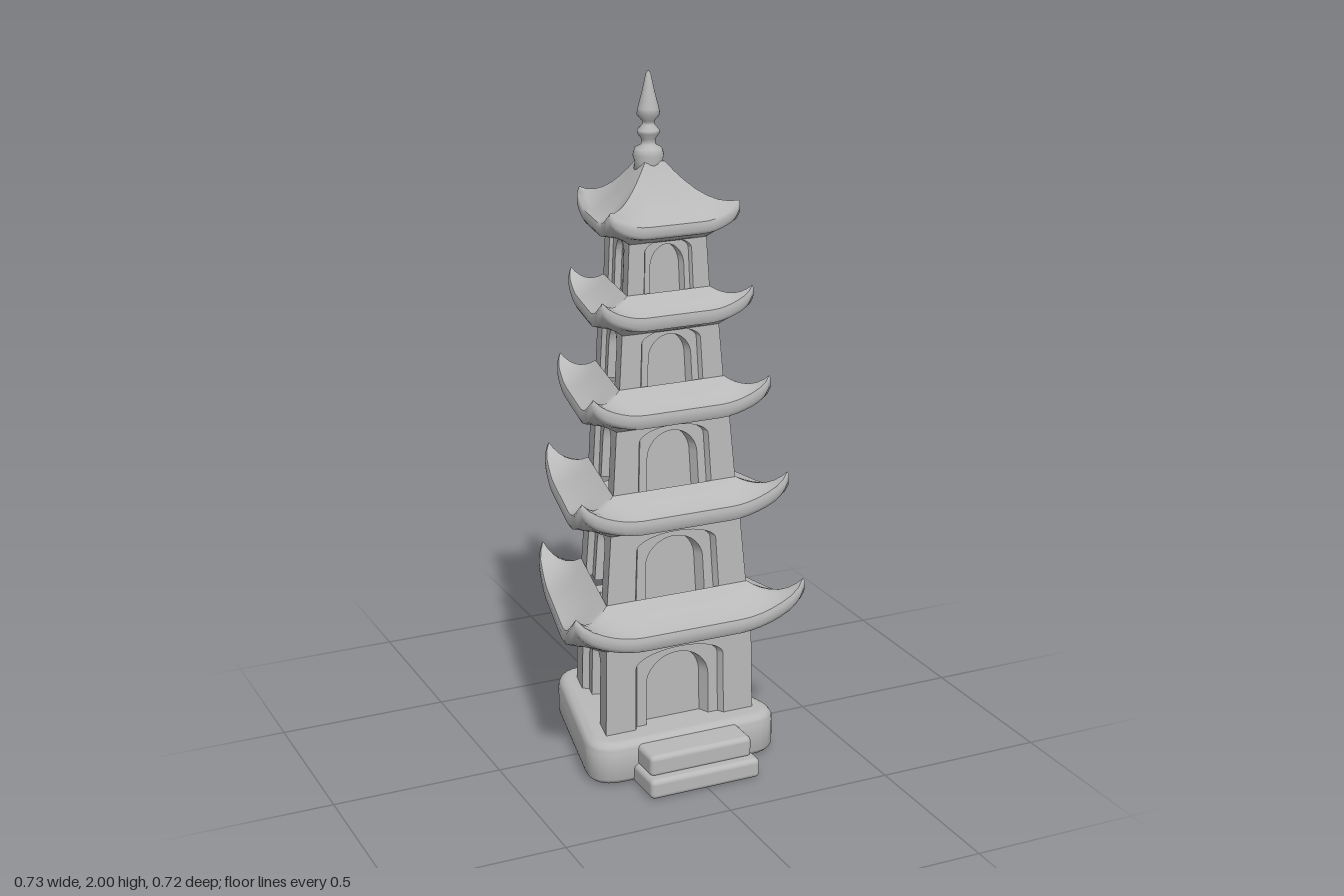
import * as THREE from 'three';
import { RoundedBoxGeometry } from 'three/addons/geometries/RoundedBoxGeometry.js';
import { toCreasedNormals } from 'three/addons/utils/BufferGeometryUtils.js';

const stone = new THREE.MeshStandardMaterial({ color: 0xb8b8b8 });
stone.name = 'grey stone';

// A plan is a trapezoid: front half-width, back half-width, front z, back z
const plan = (f, b, zf, zb) => ({ f, b, zf, zb });
const mix = (p, q, t) => plan(p.f + (q.f - p.f) * t, p.b + (q.b - p.b) * t, p.zf + (q.zf - p.zf) * t, p.zb + (q.zb - p.zb) * t);
const inset = (p, d) => plan(p.f - d, p.b - d, p.zf - d, p.zb + d);
const corners = p => [[-p.f, p.zf], [p.f, p.zf], [p.b, p.zb], [-p.b, p.zb]];
const centre = plan(0.001, 0.001, -0.039, -0.041);

// Point on side s (0 front, 1 left, 2 back, 3 right); u runs -1..1
function onSide(p, s, u) {
  const c = corners(p), a = c[s], b = c[(s + 1) % 4], k = (u + 1) / 2;
  return [a[0] + (b[0] - a[0]) * k, a[1] + (b[1] - a[1]) * k];
}

function add(parent, name, geometry) {
  const mesh = new THREE.Mesh(geometry, stone);
  mesh.name = name;
  parent.add(mesh);
  return mesh;
}

// Wall panel on one side, bent onto the tapering plan, with an optional arched opening
function panel(tier, s, outer, inner, arch) {
  const shape = new THREE.Shape();
  shape.moveTo(-1, 0);
  if (arch) {
    const [w, spring, rise] = arch;
    shape.lineTo(-w, 0);
    shape.lineTo(-w, spring);
    shape.absellipse(0, spring, w, rise, Math.PI, 0, true);
    shape.lineTo(w, 0);
  }
  shape.lineTo(1, 0);
  shape.lineTo(1, 1);
  shape.lineTo(-1, 1);
  shape.closePath();
  const geo = new THREE.ExtrudeGeometry(shape, { depth: 1, bevelEnabled: false, curveSegments: 14 });
  const pos = geo.attributes.position;
  for (let i = 0; i < pos.count; i++) {
    const u = pos.getX(i), v = pos.getY(i), d = inner + (outer - inner) * pos.getZ(i);
    const [x, z] = onSide(inset(mix(tier.base, tier.top, v), d), s, u);
    pos.setXYZ(i, x, tier.y0 + (tier.y1 - tier.y0) * v, z);
  }
  geo.computeVertexNormals();
  return toCreasedNormals(geo, 0.6);
}

// Roof with upswept corners: rows are [plan, height, sweep amount]
function roofGeometry(rows, lift) {
  const N = 24, ring = N * 4, positions = [], index = [];
  for (const [p, y, t] of rows) {
    for (let j = 0; j < ring; j++) {
      const u = (j % N) / N * 2 - 1;
      const [x, z] = onSide(p, Math.floor(j / N), u);
      const a = Math.abs(u);
      const sweep = Math.max(0, (a - 0.4) / 0.6) ** 2;
      const round = 1 - 0.05 * t * Math.max(0, (a - 0.8) / 0.2) ** 2;
      positions.push(x * round, y + lift * sweep * t * t, (z + 0.04) * round - 0.04);
    }
  }
  for (let i = 0; i < rows.length - 1; i++) {
    for (let j = 0; j < ring; j++) {
      const k = (j + 1) % ring, a = i * ring, b = a + ring;
      index.push(a + j, a + k, b + k, a + j, b + k, b + j);
    }
  }
  const geo = new THREE.BufferGeometry();
  geo.setAttribute('position', new THREE.Float32BufferAttribute(positions, 3));
  geo.setIndex(index);
  geo.computeVertexNormals();
  return toCreasedNormals(geo, 0.9);
}

export function createModel() {
  const model = new THREE.Group();
  model.name = 'pagoda';

  // Rounded trapezoid plinth
  const bevel = 0.03, pts = corners(inset(plan(0.305, 0.2, 0.24, -0.32), bevel)).map(c => new THREE.Vector2(c[0], -c[1]));
  const outline = new THREE.Shape();
  pts.forEach((c, i) => {
    const before = c.clone().lerp(pts[(i + 3) % 4], 0.13), after = c.clone().lerp(pts[(i + 1) % 4], 0.13);
    if (i) outline.lineTo(before.x, before.y);
    else outline.moveTo(before.x, before.y);
    outline.quadraticCurveTo(c.x, c.y, after.x, after.y);
  });
  outline.closePath();
  const plinth = new THREE.ExtrudeGeometry(outline, { depth: 0.13 - 2 * bevel, bevelSize: bevel, bevelThickness: bevel, bevelSegments: 5, curveSegments: 6 });
  plinth.rotateX(-Math.PI / 2).translate(0, bevel, 0);
  add(model, 'plinth', toCreasedNormals(plinth, 0.7));

  // Entrance steps
  add(model, 'lowerStep', new RoundedBoxGeometry(0.345, 0.06, 0.18, 3, 0.015)).position.set(-0.005, 0.03, 0.27);
  add(model, 'upperStep', new RoundedBoxGeometry(0.32, 0.065, 0.15, 3, 0.015)).position.set(-0.005, 0.085, 0.253);

  // Storeys with the roof above each
  const tiers = [
    { y0: 0.12, y1: 0.42, base: plan(0.235, 0.155, 0.17, -0.235), top: plan(0.23, 0.15, 0.165, -0.23), eave: plan(0.38, 0.23, 0.262, -0.36), bottom: 0.41, tip: 0.55 },
    { y0: 0.50, y1: 0.76, base: plan(0.222, 0.145, 0.15, -0.215), top: plan(0.2, 0.13, 0.138, -0.205), eave: plan(0.34, 0.215, 0.222, -0.335), bottom: 0.745, tip: 0.87 },
    { y0: 0.82, y1: 1.07, base: plan(0.192, 0.125, 0.132, -0.2), top: plan(0.172, 0.115, 0.118, -0.19), eave: plan(0.288, 0.19, 0.192, -0.29), bottom: 1.045, tip: 1.155 },
    { y0: 1.12, y1: 1.34, base: plan(0.162, 0.108, 0.11, -0.18), top: plan(0.145, 0.1, 0.1, -0.17), eave: plan(0.243, 0.162, 0.16, -0.262), bottom: 1.315, tip: 1.415 },
    { y0: 1.38, y1: 1.59, base: plan(0.127, 0.09, 0.088, -0.16), top: plan(0.115, 0.085, 0.08, -0.15), eave: plan(0.207, 0.147, 0.138, -0.228), bottom: 1.565, tip: 1.655 },
  ];
  const sideNames = ['front', 'left', 'back', 'right'];

  tiers.forEach((tier, n) => {
    const storey = new THREE.Group();
    storey.name = 'storey' + (n + 1);
    model.add(storey);
    const size = tier.base.f / 0.235;

    for (let s = 0; s < 4; s++) {
      const side = sideNames[s];
      add(storey, side + 'CornerPosts', panel(tier, s, 0, 0.018 * size, [0.6, 0.66, 0.16]));
      add(storey, side + 'ArchedWall', panel(tier, s, 0.018 * size, 0.05 * size, [s % 2 ? 0.38 : 0.46, 0.45, 0.29]));
      // The ground floor is open from side to side
      if (n > 0 || s % 2 === 0) add(storey, side + 'Infill', panel(tier, s, 0.05 * size, 0.06 * size));
    }

    // Curved roof: closed ceiling, underside, thick lip, concave slope
    const last = n === tiers.length - 1, next = tiers[n + 1];
    const above = last ? plan(0.03, 0.03, -0.005, -0.065) : next.base;
    const peak = last ? 1.75 : next.y0 + 0.025;
    const thick = 0.028 + 0.02 * size, lip = tier.bottom + thick, under = p => mix(tier.top, tier.eave, p);
    const rows = [
      [centre, tier.bottom - 0.02, 0],
      [inset(tier.top, 0.03), tier.bottom - 0.02, 0],
      [tier.top, tier.bottom - 0.02, 0],
      [under(0.35), tier.bottom - 0.004, 0.35],
      [under(0.7), tier.bottom, 0.7],
      [under(0.93), tier.bottom + 0.004, 0.93],
      [under(1), tier.bottom + thick * 0.35, 1],
      [under(1), tier.bottom + thick * 0.75, 1],
      [under(0.96), lip, 0.97],
    ];
    for (const t of [0.85, 0.7, 0.55, 0.4, 0.25, 0.12, 0]) {
      rows.push([mix(above, tier.eave, t), lip + (peak - lip) * (1 - t) ** 1.6, t]);
    }
    if (last) rows.push([centre, peak, 0]);
    add(storey, 'roof', roofGeometry(rows, tier.tip - lip));
  });

  // Turned finial
  const profile = [[0, 1.7], [0.042, 1.72], [0.038, 1.745], [0.044, 1.765], [0.038, 1.785], [0.02, 1.795], [0.02, 1.81],
    [0.031, 1.825], [0.031, 1.835], [0.017, 1.85], [0.018, 1.86], [0.033, 1.878], [0.03, 1.895], [0.018, 1.94], [0.007, 1.99], [0, 2]];
  const finial = new THREE.LatheGeometry(profile.map(p => new THREE.Vector2(...p)), 20);
  add(model, 'finial', finial).position.set(-0.005, 0, -0.037);

  return model;
}
